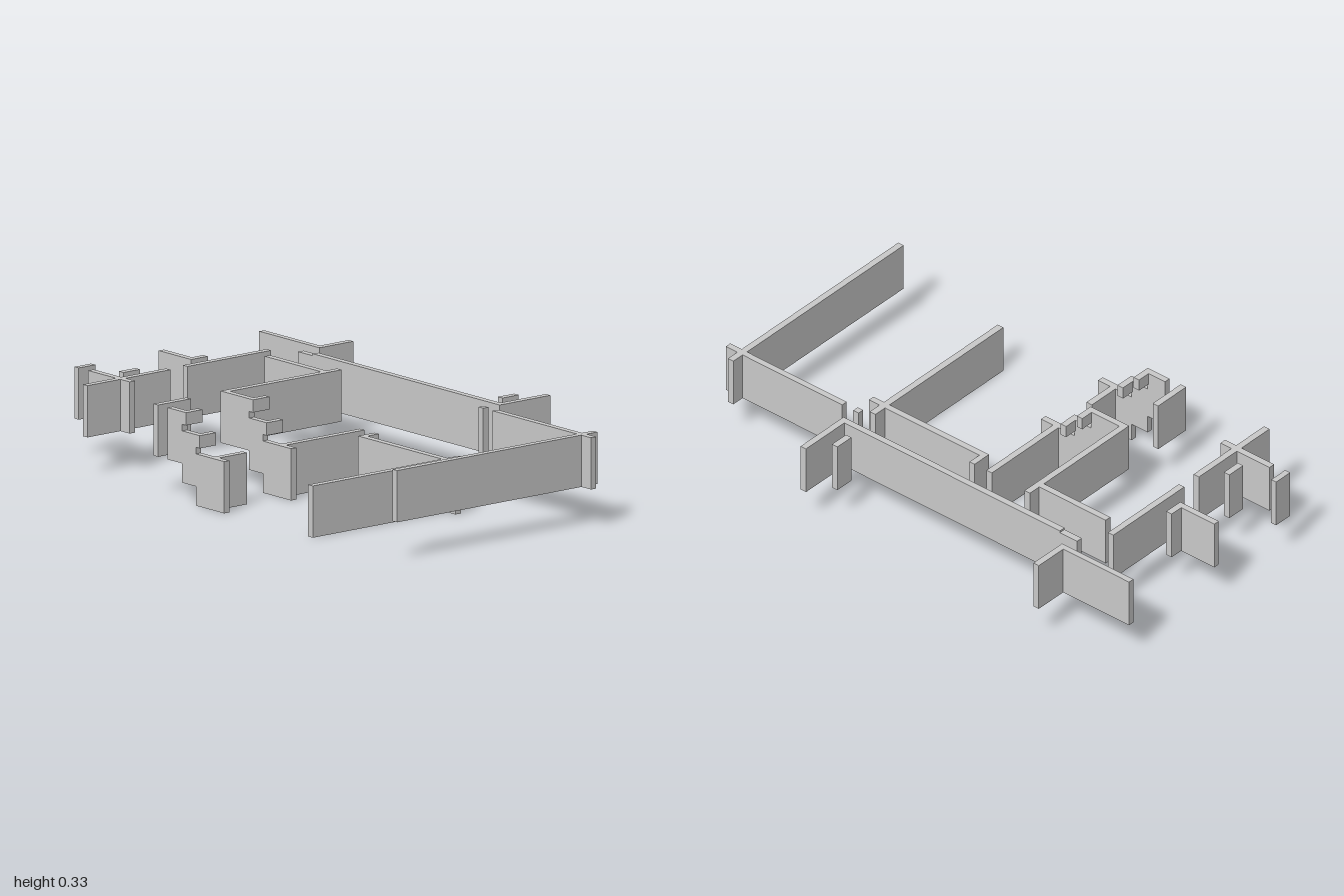
import * as THREE from 'three';

const MAT = new THREE.MeshStandardMaterial({ color: 0xcccccc });
const H = 0.187;      // storey height
const LOW = 0;        // lower floor
const UP = 0.139;     // upper floor

export function createModel() {
  const model = new THREE.Group();

  const block = (name, x0, x1, z0, z1, y0, y1) => {
    const m = new THREE.Mesh(new THREE.BoxGeometry(x1 - x0, y1 - y0, z1 - z0), MAT);
    m.position.set((x0 + x1) / 2, (y0 + y1) / 2, (z0 + z1) / 2);
    m.name = name;
    model.add(m);
  };

  // Upper floor walls: x0, x1, z0, z1
  const upper = {
    frontWall: [-0.577, 0.342, 0.922, 0.947],
    frontSideWall: [0.268, 0.292, 0.46, 1],
    doorPost: [0.268, 0.292, 0.384, 0.409],
    longSideWall: [0.344, 0.369, -0.615, 0.409],
    longSideReturn: [0.344, 0.576, 0.384, 0.409],
    porchPillar: [0.42, 0.495, 0.308, 0.333],
    middleWall: [-0.27, 0.265, -0.387, -0.362],
    middleSideWall: [0.19, 0.215, -0.695, -0.362],
    middleLeftWall: [-0.577, -0.427, -0.387, -0.362],
    backWallA: [-0.577, -0.196, -0.774, -0.749],
    backWallB: [-0.118, 0.265, -0.774, -0.749],
    backCrossWall: [-0.426, -0.401, -0.925, -0.698],
    backPillar: [-0.426, -0.35, -1, -0.977],
    backPost: [-0.35, -0.275, -0.847, -0.822],
    backPartition: [-0.04, -0.016, -1, -0.822],
    backPartitionReturn: [-0.04, 0.036, -0.847, -0.822],
    cornerWall: [0.421, 0.444, -1, -0.67],
    cornerReturn: [0.421, 0.576, -0.695, -0.67],
  };
  for (const [name, [a, b, c, d]] of Object.entries(upper)) block(name, a, b, c, d, UP, UP + H);
  block('longSideWallEnd', 0.344, 0.369, -0.695, -0.61, 0.132, 0.319);

  // Lower floor walls
  const lower = {
    lowerFrontWall: [-0.577, 0.113, 0.46, 0.486],
    lowerSideWall: [0.036, 0.061, 0, 0.535],
    lowerSideReturn: [0.036, 0.113, 0, 0.023],
    lowerBackWall: [-0.27, 0.113, -0.08, -0.055],
    lowerLeftWall: [-0.577, -0.427, -0.08, -0.055],
  };
  for (const [name, [a, b, c, d]] of Object.entries(lower)) block(name, a, b, c, d, LOW, LOW + H);

  // Stepped walls beside the stairs, with a short lintel at each rise
  const rise = UP / 2, z1 = -0.155, z2 = -0.23;
  for (const [x, zEnd] of [[-0.577, -0.31], [-0.27, -0.387]]) {
    const profile = new THREE.Shape([
      [0, 0], [0, H], [z1, H], [z1, rise + H], [z2, rise + H], [z2, UP + H],
      [zEnd, UP + H], [zEnd, UP], [z2, UP], [z2, rise], [z1, rise], [z1, 0],
    ].map(([z, y]) => new THREE.Vector2(z, y)));
    const geo = new THREE.ExtrudeGeometry(profile, { depth: 0.024, bevelEnabled: false });
    geo.rotateY(-Math.PI / 2).translate(x + 0.024, 0, 0);
    const wall = new THREE.Mesh(geo, MAT);
    wall.name = 'stairWall';
    model.add(wall);
    [z1, z2].forEach((z, i) => {
      const top = H + rise * (i + 1);
      block('stairLintel', x, x + 0.075, z - 0.004, z + 0.021, top - 0.046, top);
    });
  }
  return model;
}
